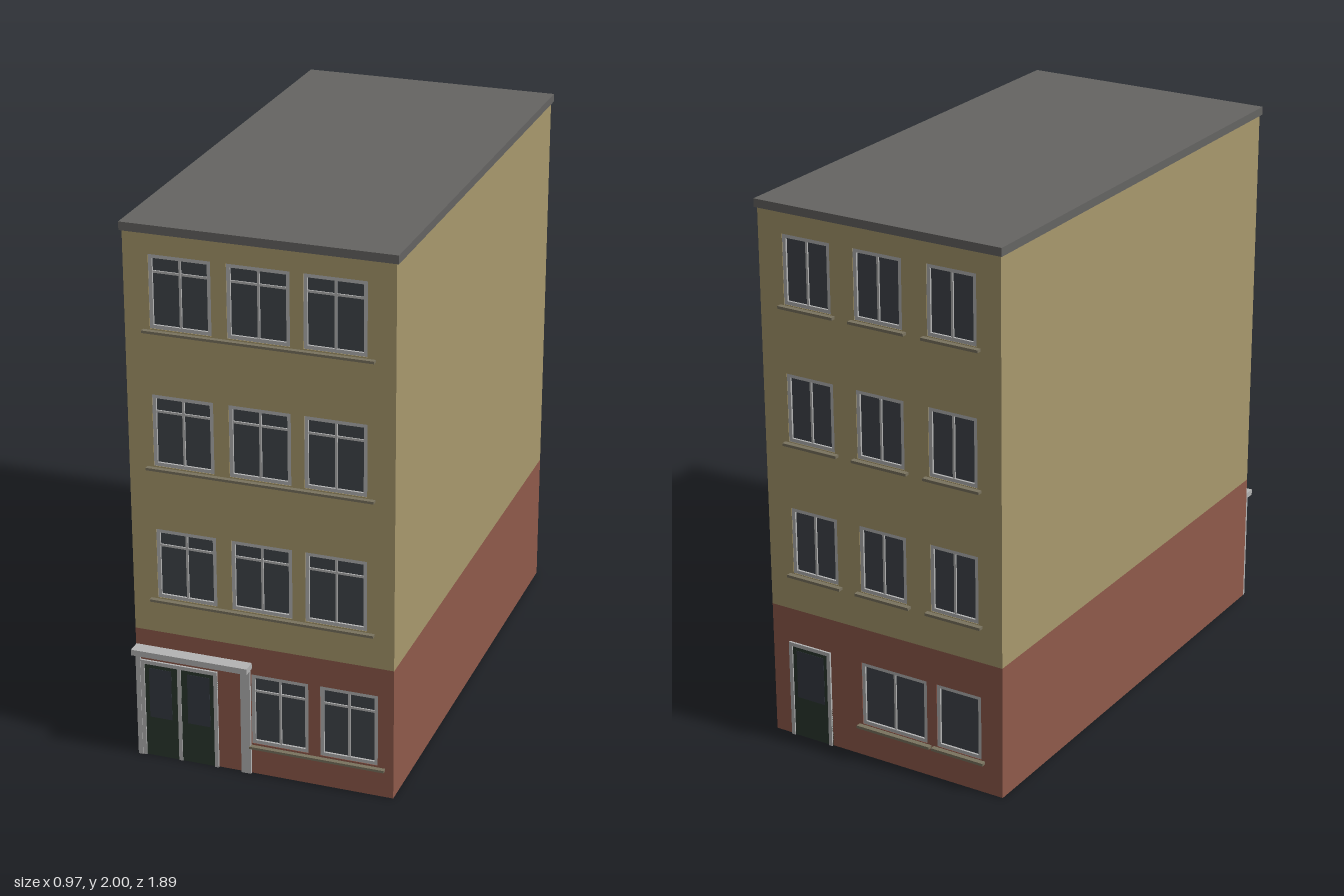
import * as THREE from 'three';

const mat = (color) => new THREE.MeshStandardMaterial({ color, side: THREE.DoubleSide });
const MAT = {
  render: mat(0xa8996d), brick: mat(0x8f5a4b), roof: mat(0x656462), glass: mat(0x40454b),
  frame: mat(0xb4b4b4), sill: mat(0x7a735f), door: mat(0x2a382f), doorGlass: mat(0x353a42),
};
const HALF = 0.475, FRONT = 0.895, BACK = -0.925, SPLIT = 0.5, EAVES = 1.97, REVEAL = 0.012;

// Box given by its limits on each axis
function box(parent, name, material, x0, x1, y0, y1, z0, z1) {
  const mesh = new THREE.Mesh(new THREE.BoxGeometry(x1 - x0, y1 - y0, z1 - z0), material);
  mesh.position.set((x0 + x1) / 2, (y0 + y1) / 2, (z0 + z1) / 2);
  mesh.name = name;
  parent.add(mesh);
  return mesh;
}

function rectangle(Type, x0, x1, y0, y1) {
  const p = new Type();
  p.moveTo(x0, y0);
  p.lineTo(x1, y0);
  p.lineTo(x1, y1);
  p.lineTo(x0, y1);
  p.closePath();
  return p;
}

// Thin wall with window openings, outer face at z = 0
function wall(parent, name, material, y0, y1, windows) {
  const shape = rectangle(THREE.Shape, -HALF, HALF, y0, y1);
  windows.forEach((w) => shape.holes.push(rectangle(THREE.Path, w.x0, w.x1, w.y0, w.y1)));
  const geometry = new THREE.ExtrudeGeometry(shape, { depth: REVEAL, bevelEnabled: false });
  geometry.translate(0, 0, -REVEAL);
  const mesh = new THREE.Mesh(geometry, material);
  mesh.name = name;
  parent.add(mesh);
}

// Frame border, centre mullion, optional transom and glass
function addWindow(parent, { x0, x1, y0, y1, panes = 2, transom }) {
  const group = new THREE.Group();
  group.name = 'window';
  const shape = rectangle(THREE.Shape, x0, x1, y0, y1);
  const b = 0.013;
  shape.holes.push(rectangle(THREE.Path, x0 + b, x1 - b, y0 + b, y1 - b));
  const border = new THREE.Mesh(
    new THREE.ExtrudeGeometry(shape, { depth: 0.01, bevelEnabled: false }), MAT.frame);
  border.position.z = -0.012;
  border.name = 'windowFrame';
  group.add(border);
  for (let i = 1; i < panes; i++) {
    const x = x0 + ((x1 - x0) * i) / panes;
    box(group, 'mullion', MAT.frame, x - 0.004, x + 0.004, y0 + b, y1 - b, -0.012, -0.004);
  }
  if (transom) {
    box(group, 'transom', MAT.frame, x0 + b, x1 - b, transom - 0.004, transom + 0.004, -0.012, -0.005);
  }
  box(group, 'glass', MAT.glass, x0, x1, y0, y1, -0.014, -0.01);
  parent.add(group);
}

// Door with one or two glazed leaves, standing slightly proud of the wall
function addDoor(parent, x0, x1, top, leaves) {
  const group = new THREE.Group();
  group.name = 'door';
  const b = 0.014, step = (x1 - x0) / leaves;
  for (let i = 0; i < leaves; i++) {
    const l = x0 + i * step, r = l + step;
    box(group, 'doorLeaf', MAT.door, l, r, 0, top - b, 0, 0.003);
    box(group, 'doorPane', MAT.doorGlass, l + 0.03, r - 0.03, 0.155, top - 0.03, 0.002, 0.004);
    if (i > 0) box(group, 'doorMeeting', MAT.frame, l - 0.007, l + 0.007, 0, top - b, 0, 0.006);
  }
  box(group, 'doorJamb', MAT.frame, x0, x0 + b, 0, top, 0, 0.008);
  box(group, 'doorJamb', MAT.frame, x1 - b, x1, 0, top, 0, 0.008);
  box(group, 'doorHead', MAT.frame, x0 + b, x1 - b, top - b, top, 0, 0.008);
  parent.add(group);
}

// Both wall bands of one end, with their windows
function facade(name, ground, upper) {
  const group = new THREE.Group();
  group.name = name;
  wall(group, 'groundWall', MAT.brick, 0, SPLIT, ground);
  wall(group, 'upperWall', MAT.render, SPLIT, EAVES, upper);
  [...ground, ...upper].forEach((w) => addWindow(group, w));
  return group;
}

export function createModel() {
  const model = new THREE.Group();
  model.name = 'townBuilding';
  const floors = [0.635, 1.135, 1.635];

  // Front: three upper floors of windows over a shop-height ground floor
  const frontUpper = floors.flatMap((y) => [-0.275, 0, 0.267].map((x) => (
    { x0: x - 0.11, x1: x + 0.11, y0: y, y1: y + 0.262, transom: y + 0.2 })));
  const frontGround = [[-0.045, 0.165], [0.208, 0.418]].map(([x0, x1]) => (
    { x0, x1, y0: 0.12, y1: 0.393, transom: 0.327 }));
  const front = facade('frontFacade', frontGround, frontUpper);
  front.position.z = FRONT;
  floors.forEach((y) => box(front, 'windowSill', MAT.sill, -0.41, 0.405, y - 0.014, y - 0.005, 0, 0.017));
  box(front, 'windowSill', MAT.sill, -0.05, 0.445, 0.104, 0.113, 0, 0.017);

  // Entrance: double door, posts and canopy
  addDoor(front, -0.458, -0.17, 0.38, 2);
  box(front, 'entrancePost', MAT.frame, -0.475, -0.458, 0, 0.416, 0, 0.01);
  box(front, 'entrancePost', MAT.frame, -0.083, -0.047, 0, 0.416, 0, 0.01);
  box(front, 'entranceCanopy', MAT.frame, -0.473, -0.042, 0.416, 0.438, 0, 0.05);
  model.add(front);

  // Back: turned round, so its x runs the other way
  const backUpper = floors.flatMap((y) => [-0.283, 0, 0.287].map((x) => (
    { x0: x - 0.095, x1: x + 0.095, y0: y + 0.008, y1: y + 0.258 })));
  const backGround = [
    { x0: -0.1, x1: 0.17, y0: 0.125, y1: 0.367 },
    { x0: 0.21, x1: 0.39, y0: 0.125, y1: 0.367, panes: 1 },
  ];
  const back = facade('backFacade', backGround, backUpper);
  back.position.z = BACK;
  back.rotation.y = Math.PI;
  [...backGround, ...backUpper].forEach((w) => (
    box(back, 'windowSill', MAT.sill, w.x0 - 0.015, w.x1 + 0.015, w.y0 - 0.013, w.y0 - 0.003, 0, 0.019)));
  addDoor(back, -0.405, -0.23, 0.37, 1);
  model.add(back);

  // Plain side walls
  for (const side of [-1, 1]) {
    for (const [name, material, y0, y1] of [
      ['sideGroundWall', MAT.brick, 0, SPLIT], ['sideUpperWall', MAT.render, SPLIT, EAVES]]) {
      const mesh = new THREE.Mesh(new THREE.PlaneGeometry(FRONT - BACK, y1 - y0), material);
      mesh.rotation.y = (side * Math.PI) / 2;
      mesh.position.set(side * HALF, (y0 + y1) / 2, (FRONT + BACK) / 2);
      mesh.name = name;
      model.add(mesh);
    }
  }

  // Flat roof slab with a slight overhang
  box(model, 'roof', MAT.roof, -0.483, 0.483, EAVES, 2, BACK - 0.008, FRONT + 0.007);
  return model;
}
